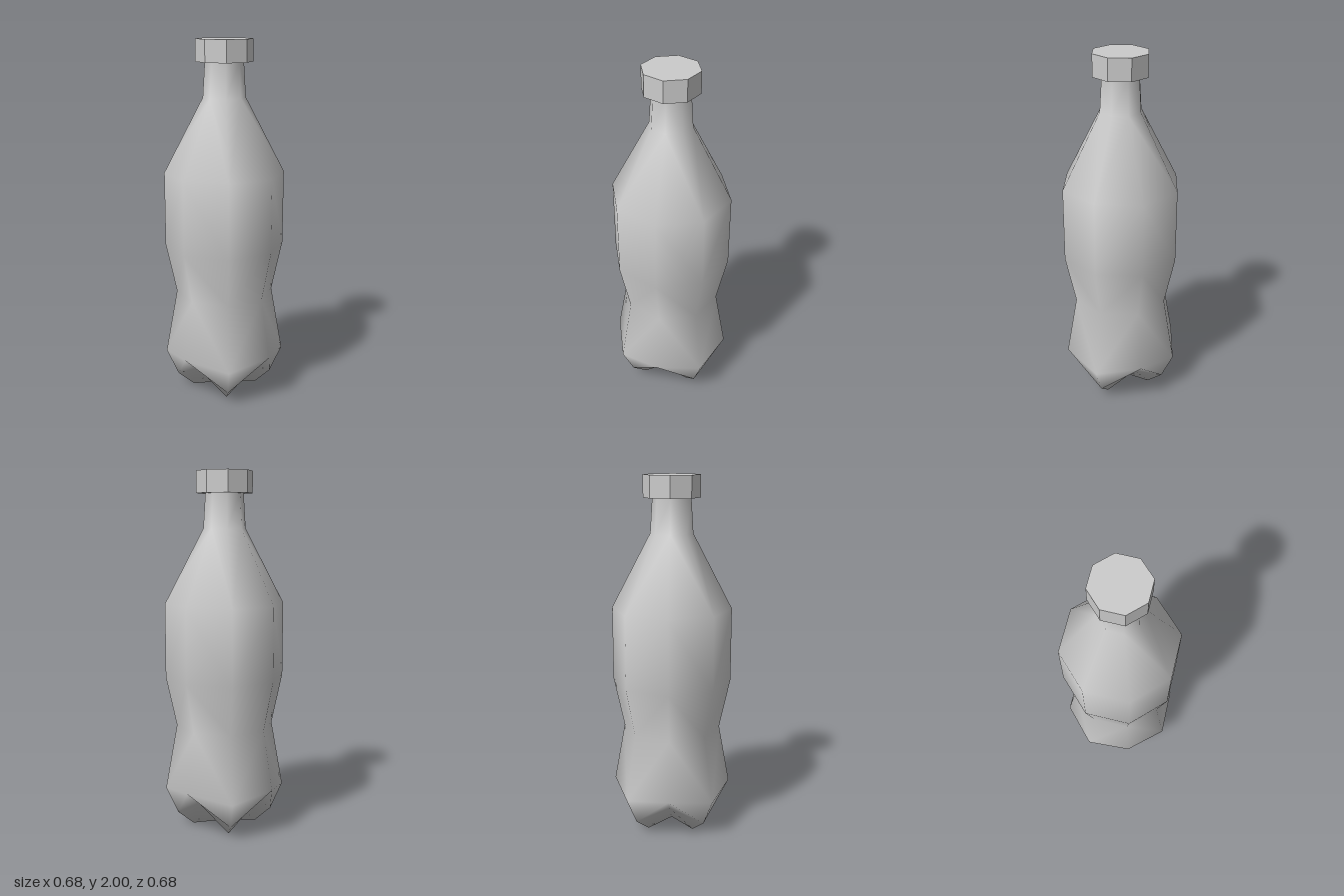
import * as THREE from 'three';

const SIDES = 8;

// Rings from neck to base: [axis radius, axis height, diagonal radius, diagonal height].
// The rings part near the base: axis points form four feet, diagonals form valleys.
const RINGS = [
  [0.105, 1.885, 0.105, 1.885],
  [0.117, 1.69, 0.117, 1.69],
  [0.332, 1.28, 0.332, 1.28],
  [0.332, 0.87, 0.332, 0.87],
  [0.272, 0.59, 0.272, 0.59],
  [0.338, 0.22, 0.332, 0.26],
  [0.27, 0.07, 0.235, 0.182],
  [0.18, 0.0, 0.13, 0.103],
];
const BASE_CENTRE_Y = 0.01;

function bottleGeometry() {
  const positions = [];
  const indices = [];
  for (const [axisR, axisY, diagR, diagY] of RINGS) {
    for (let i = 0; i < SIDES; i++) {
      const a = (i / SIDES) * Math.PI * 2;
      const r = i % 2 ? diagR : axisR;
      positions.push(Math.sin(a) * r, i % 2 ? diagY : axisY, Math.cos(a) * r);
    }
  }
  const centre = positions.length / 3;
  positions.push(0, BASE_CENTRE_Y, 0);

  for (let j = 0; j < RINGS.length; j++) {
    for (let i = 0; i < SIDES; i++) {
      const next = (i + 1) % SIDES;
      const a = j * SIDES + i, a1 = j * SIDES + next;
      if (j === RINGS.length - 1) {
        indices.push(a, centre, a1); // underside fan
        continue;
      }
      const b = a + SIDES, b1 = a1 + SIDES;
      // Mirror the quad split so every foot is symmetrical
      if (i % 2) indices.push(a, b, b1, a, b1, a1);
      else indices.push(a, b, a1, b, b1, a1);
    }
  }
  const geometry = new THREE.BufferGeometry();
  geometry.setAttribute('position', new THREE.Float32BufferAttribute(positions, 3));
  geometry.setIndex(indices);
  geometry.computeVertexNormals();
  return geometry;
}

export function createModel() {
  const group = new THREE.Group();
  group.name = 'bottle';

  // Smooth eight-sided body with a four-footed base
  const body = new THREE.Mesh(
    bottleGeometry(),
    new THREE.MeshStandardMaterial({ color: 0xcccccc, side: THREE.DoubleSide })
  );
  body.name = 'bottleBody';
  group.add(body);

  // Faceted screw cap
  const cap = new THREE.Mesh(
    new THREE.CylinderGeometry(0.155, 0.155, 0.12, SIDES),
    new THREE.MeshStandardMaterial({ color: 0xcccccc, flatShading: true })
  );
  cap.name = 'cap';
  cap.position.y = 1.94;
  group.add(cap);

  return group;
}
